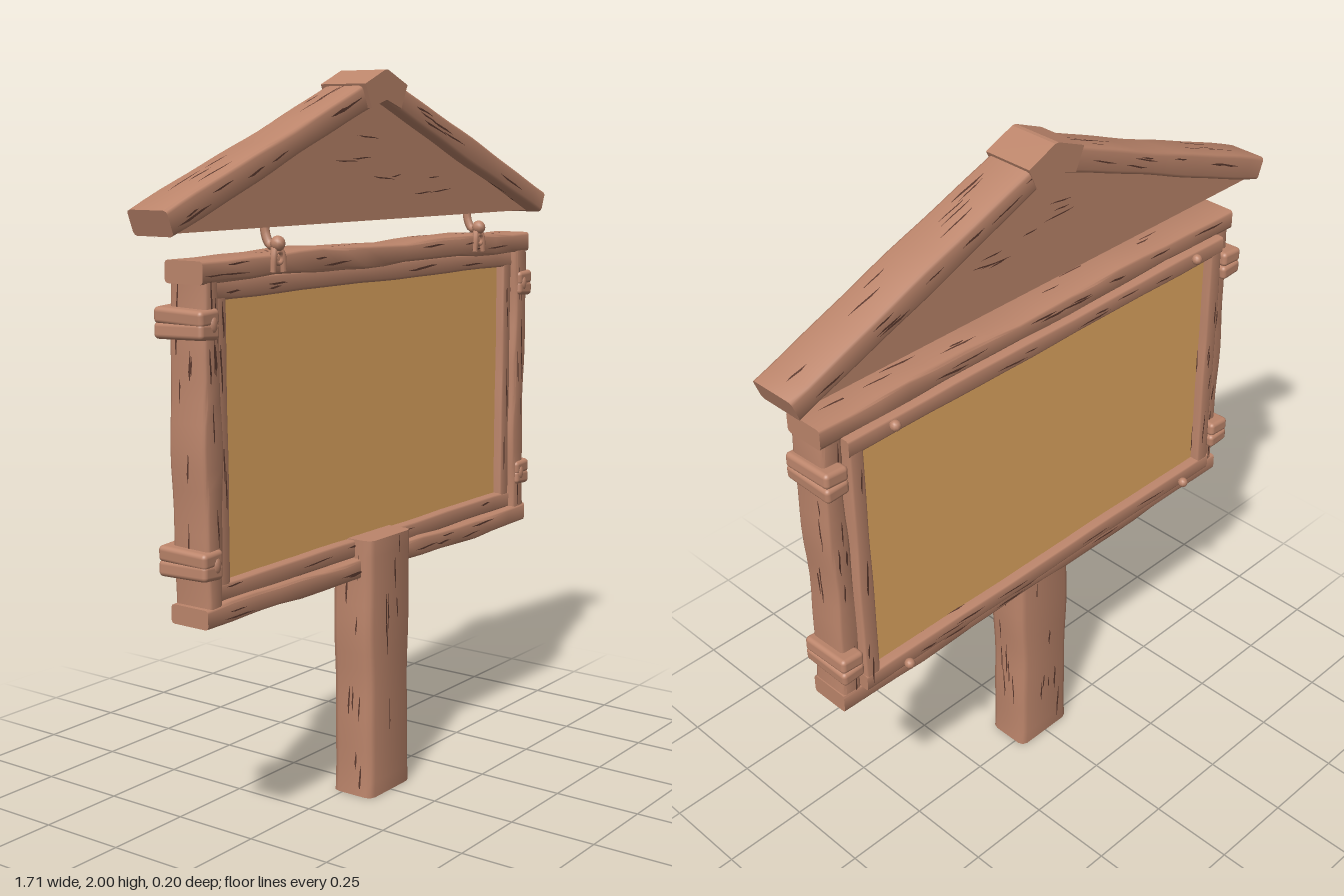
import * as THREE from 'three';
import { mergeGeometries, toCreasedNormals } from 'three/addons/utils/BufferGeometryUtils.js';
import { RoundedBoxGeometry } from 'three/addons/geometries/RoundedBoxGeometry.js';

export function createModel() {
  const model = new THREE.Group();
  model.name = 'hangingSignboard';
  const wood = new THREE.MeshStandardMaterial({ color: 0xbc856b });
  wood.name = 'brown wood';
  const board = new THREE.MeshStandardMaterial({ color: 0xe3a962 });
  board.name = 'tan board';
  const dark = new THREE.MeshStandardMaterial({ color: 0x5c3a2f, side: THREE.DoubleSide });
  dark.name = 'dark wood grain';

  let seed = 7;
  const rand = (lo = 0, hi = 1) => {
    seed = (seed * 16807) % 2147483647;
    return lo + (hi - lo) * (seed / 2147483647);
  };
  const add = (name, geo, mat, parent = model, x = 0, y = 0, z = 0) => {
    const m = new THREE.Mesh(geo, mat);
    m.name = name;
    m.position.set(x, y, z);
    parent.add(m);
    return m;
  };

  // Thin tapered sliver of grain lying in the xy plane
  const sliver = (len, w) => {
    const s = new THREE.Shape();
    s.moveTo(-len / 2, 0);
    s.lineTo(-len / 6, -w / 2);
    s.lineTo(len / 2, w * 0.2);
    s.lineTo(len / 5, w / 2);
    return new THREE.ShapeGeometry(s);
  };

  // Hand-hewn beam from a to b, with rounded corners, wavy long edges and grain
  function beam(name, a, b, width, z0, z1, wave = 0.005, grains = 8) {
    const g = new THREE.Group();
    g.name = name;
    const L = Math.hypot(b[0] - a[0], b[1] - a[1]);
    const h = width / 2, d = (z1 - z0) / 2, c = Math.min(h, d) * 0.3, n = 16;
    const p1 = rand(0, 6), p2 = rand(0, 6);
    const edge = (x, side) =>
      wave * (0.7 * Math.sin(x * 9 + (side > 0 ? p1 : p2)) + 0.3 * Math.sin(x * 23 + p2)) * side;
    const section = [];
    [[1, 1], [-1, 1], [-1, -1], [1, -1]].forEach(([sy, sz], q) => {
      for (let k = 0; k < 3; k++) {
        const t = (q + k / 2) * Math.PI / 2;
        section.push([sy * (h - c) + c * Math.cos(t), sz * (d - c) + c * Math.sin(t)]);
      }
    });
    const m = section.length, pos = [], idx = [];
    for (let i = 0; i <= n; i++) {
      const x = L * (i / n - 0.5);
      for (const [y, z] of section) pos.push(x, y + edge(x, Math.sign(y)), z);
    }
    for (let i = 0; i < n; i++) for (let j = 0; j < m; j++) {
      const A = i * m + j, B = i * m + (j + 1) % m;
      idx.push(A, B, B + m, A, B + m, A + m);
    }
    for (let j = 1; j < m - 1; j++) idx.push(0, j + 1, j, n * m, n * m + j, n * m + j + 1);
    const geo = new THREE.BufferGeometry();
    geo.setAttribute('position', new THREE.Float32BufferAttribute(pos, 3));
    geo.setIndex(idx);
    add(name + 'Timber', toCreasedNormals(geo, 0.9), wood, g);

    // Grain on the front, back and both edges
    const marks = [];
    for (let i = 0; i < grains * 4; i++) {
      const len = rand(0.05, 0.14), x = rand(-0.5, 0.5) * (L - len), s = sliver(len, rand(0.005, 0.009));
      const face = i % 4, sgn = face % 2 ? 1 : -1;
      s.rotateZ(rand(-0.04, 0.04));
      if (face < 2) s.translate(x, rand(-0.7, 0.7) * (h - c), sgn * (d + 0.001));
      else s.rotateX(Math.PI / 2).translate(x, sgn * (h + 0.0015) + edge(x, sgn), rand(-0.7, 0.7) * (d - c));
      marks.push(s);
    }
    add(name + 'Grain', mergeGeometries(marks), dark, g);
    g.position.set((a[0] + b[0]) / 2, (a[1] + b[1]) / 2, (z0 + z1) / 2);
    g.rotation.z = Math.atan2(b[1] - a[1], b[0] - a[0]);
    model.add(g);
  }

  const extrude = (pts, z0, z1) => {
    const s = new THREE.Shape(pts.map(p => new THREE.Vector2(...p)));
    return new THREE.ExtrudeGeometry(s, { depth: z1 - z0, bevelEnabled: false }).translate(0, 0, z0);
  };

  // Standing post
  beam('post', [0, 0], [0, 0.74], 0.193, -0.033, 0.1, 0.005, 8);

  // Outer frame
  beam('topRail', [-0.732, 1.512], [0.775, 1.512], 0.058, -0.053, 0.067, 0.006, 9);
  beam('bottomRail', [-0.732, 0.662], [0.775, 0.662], 0.054, -0.053, 0.067, 0.006, 9);
  beam('rightStile', [-0.696, 0.65], [-0.696, 1.525], 0.06, -0.05, 0.065, 0.007, 7);
  beam('leftStile', [0.738, 0.65], [0.738, 1.525], 0.06, -0.05, 0.065, 0.007, 7);

  // Inner frame and board
  beam('innerTopRail', [-0.667, 1.463], [0.712, 1.463], 0.05, -0.077, 0.047, 0.002, 6);
  beam('innerBottomRail', [-0.667, 0.712], [0.712, 0.712], 0.05, -0.077, 0.047, 0.002, 6);
  beam('innerRightStile', [-0.643, 0.7], [-0.643, 1.475], 0.046, -0.076, 0.046, 0.002, 5);
  beam('innerLeftStile', [0.688, 0.7], [0.688, 1.475], 0.046, -0.076, 0.046, 0.002, 5);
  add('board', new THREE.BoxGeometry(1.3, 0.72, 0.07), board, model, 0.0225, 1.0875, -0.014);

  // Gabled roof
  beam('rightRafter', [-0.841, 1.628], [0, 1.955], 0.068, -0.057, 0.068, 0.003, 8);
  beam('leftRafter', [0, 1.955], [0.841, 1.628], 0.068, -0.063, 0.077, 0.003, 8);
  add('gable', extrude([[-0.8, 1.604], [0.8, 1.604], [0, 1.93]], -0.035, 0.04), wood);
  const gableGrain = [];
  for (let i = 0; i < 16; i++) {
    const y = rand(1.64, 1.84), reach = (1.86 - y) * 2.1;
    gableGrain.push(sliver(rand(0.04, 0.12), 0.005).rotateZ(rand(-0.15, 0.15))
      .translate(rand(-reach, reach), y, i % 2 ? 0.041 : -0.036));
  }
  add('gableGrain', mergeGeometries(gableGrain), dark);
  add('ridgeCap', extrude([[-0.096, 1.962], [-0.068, 1.9], [0, 1.922], [0.068, 1.9],
    [0.096, 1.962], [0.006, 2], [-0.006, 2]], -0.066, 0.081), wood);

  // Rope lashings around the stiles
  for (const x of [-0.712, 0.754]) for (const y of [1.385, 0.795]) {
    const g = new THREE.Group();
    g.name = 'lashing';
    g.position.set(x, y, -0.004);
    for (const s of [-1, 1]) {
      const loop = add('ropeLoop', new RoundedBoxGeometry(0.072, 0.042, 0.156, 3, 0.012), wood, g, 0, s * 0.018, 0);
      loop.rotation.set(s * 0.03, 0, s * 0.06);
    }
    const knot = add('knot', new THREE.SphereGeometry(0.018, 10, 8), wood, g, Math.sign(x) * -0.012, 0, 0.072);
    knot.scale.set(0.8, 1.3, 0.6);
    model.add(g);
  }

  // Hangers between roof and frame
  for (const x of [-0.45, 0.485]) {
    const g = new THREE.Group();
    g.name = 'hanger';
    g.position.x = x;
    const path = (pts, r) => new THREE.TubeGeometry(
      new THREE.CatmullRomCurve3(pts.map(p => new THREE.Vector3(...p))), 12, r, 8);
    add('hook', path([[0, 1.625, 0.025], [0, 1.585, 0.03], [0, 1.56, 0.045], [0, 1.565, 0.068]], 0.012), wood, g);
    add('hookTip', new THREE.SphereGeometry(0.02, 10, 8), wood, g, 0, 1.565, 0.068);
    for (const s of [-1, 1])
      add('cord', path([[0, 1.565, 0.058], [s * 0.016, 1.54, 0.068], [s * 0.021, 1.495, 0.068]], 0.009), wood, g);
    add('eye', new THREE.TorusGeometry(0.015, 0.006, 6, 14), wood, g, 0, 1.53, 0.07);
    model.add(g);
  }

  // Pegs on the back of the inner frame
  for (const x of [-0.54, 0.575]) for (const y of [1.472, 0.702]) {
    add('pegShank', new THREE.CylinderGeometry(0.01, 0.01, 0.03, 8).rotateX(Math.PI / 2), wood, model, x, y, -0.08);
    add('pegHead', new THREE.SphereGeometry(0.015, 10, 8), wood, model, x, y, -0.088);
  }

  return model;
}
